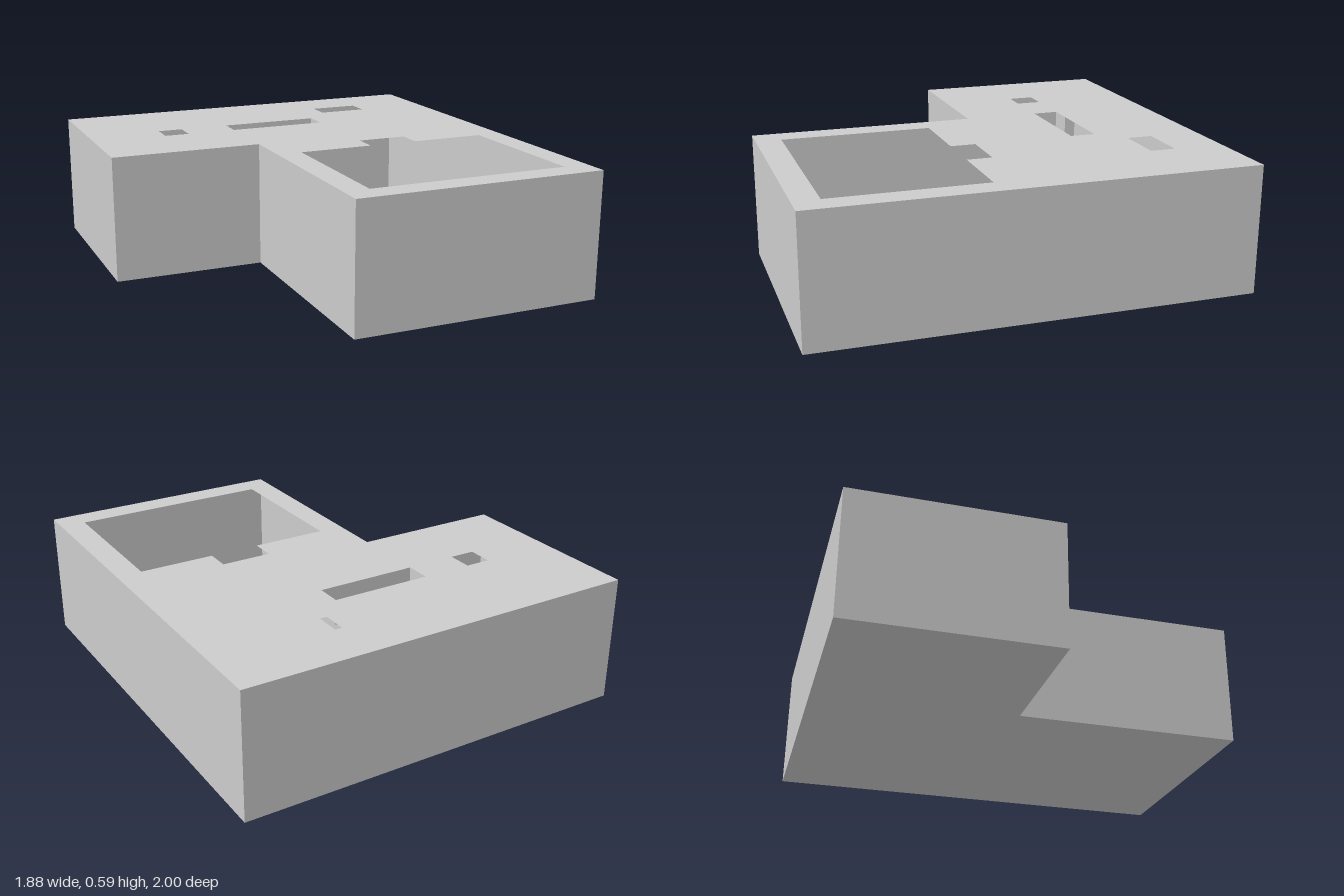
import * as THREE from 'three';

const U = 2 / 17;            // one grid cell
const W = 16, D = 17, H = 5; // footprint and height in cells
const X = (i) => (i - W / 2) * U;
const Z = (k) => (k - D / 2) * U;

export function createModel() {
  const model = new THREE.Group();
  const material = new THREE.MeshStandardMaterial({
    color: 0xcccccc, flatShading: true, side: THREE.DoubleSide,
  });

  function add(parent, geometry, name) {
    const mesh = new THREE.Mesh(geometry, material);
    mesh.name = name;
    parent.add(mesh);
    return mesh;
  }

  // Shape coordinates use -z as y, so a turn of -90 degrees lays them flat
  const points = (list) => list.map(([i, k]) => new THREE.Vector2(X(i), -Z(k)));
  const rect = (i0, k0, i1, k1) => [[i0, k0], [i0, k1], [i1, k1], [i1, k0]];

  function slab(parent, name, outline, level, holes = [], down = false) {
    const shape = new THREE.Shape(points(outline));
    shape.holes = holes.map((h) => new THREE.Path(points(h)));
    const geometry = new THREE.ShapeGeometry(shape).rotateX(-Math.PI / 2);
    if (down) {
      geometry.index.array.reverse();
      geometry.computeVertexNormals();
    }
    add(parent, geometry, name).position.y = level * U;
  }

  // Thin upright panel from cell corner a to b, facing right of its travel
  function wall(parent, name, a, b, low, high) {
    const dx = b[0] - a[0], dz = b[1] - a[1];
    const geometry = new THREE.PlaneGeometry(Math.hypot(dx, dz) * U, (high - low) * U);
    const mesh = add(parent, geometry, name);
    mesh.rotation.y = Math.atan2(-dz, dx);
    mesh.position.set(X((a[0] + b[0]) / 2), (low + high) / 2 * U, Z((a[1] + b[1]) / 2));
  }

  // Hollow L-shaped shell
  const outline = [[0, 0], [0, 8], [6, 8], [6, 17], [16, 17], [16, 0]];
  const cavity = [[7, 10], [7, 16], [15, 16], [15, 10], [12, 10], [12, 9], [10, 9], [10, 10]];
  const openings = [cavity, rect(3, 4, 4, 5), rect(6, 4, 10, 5), rect(11, 2, 13, 3)];
  slab(model, 'floor', outline, 0, [], true);
  slab(model, 'roof', outline, H, openings);
  const walls = new THREE.Group();
  walls.name = 'outerWalls';
  model.add(walls);
  outline.forEach((p, n) => wall(walls, 'outerWall', p, outline[(n + 1) % outline.length], 0, H));

  // Recessed slot: solid sides except at its open second cell, deeper last cell
  const slot = new THREE.Group();
  slot.name = 'recessedSlot';
  model.add(slot);
  for (const [i0, i1] of [[6, 7], [8, 10]]) {
    wall(slot, 'slotBackWall', [i0, 4], [i1, 4], H - 1, H);
    wall(slot, 'slotFrontWall', [i1, 5], [i0, 5], H - 1, H);
  }
  wall(slot, 'slotLeftWall', [10, 4], [10, 5], H - 1, H);
  wall(slot, 'slotRightWall', [6, 5], [6, 4], H - 1, H);
  slab(slot, 'slotFloor', rect(6, 4, 7, 5), H - 1);
  slab(slot, 'slotFloor', rect(8, 4, 9, 5), H - 1);

  return model;
}
